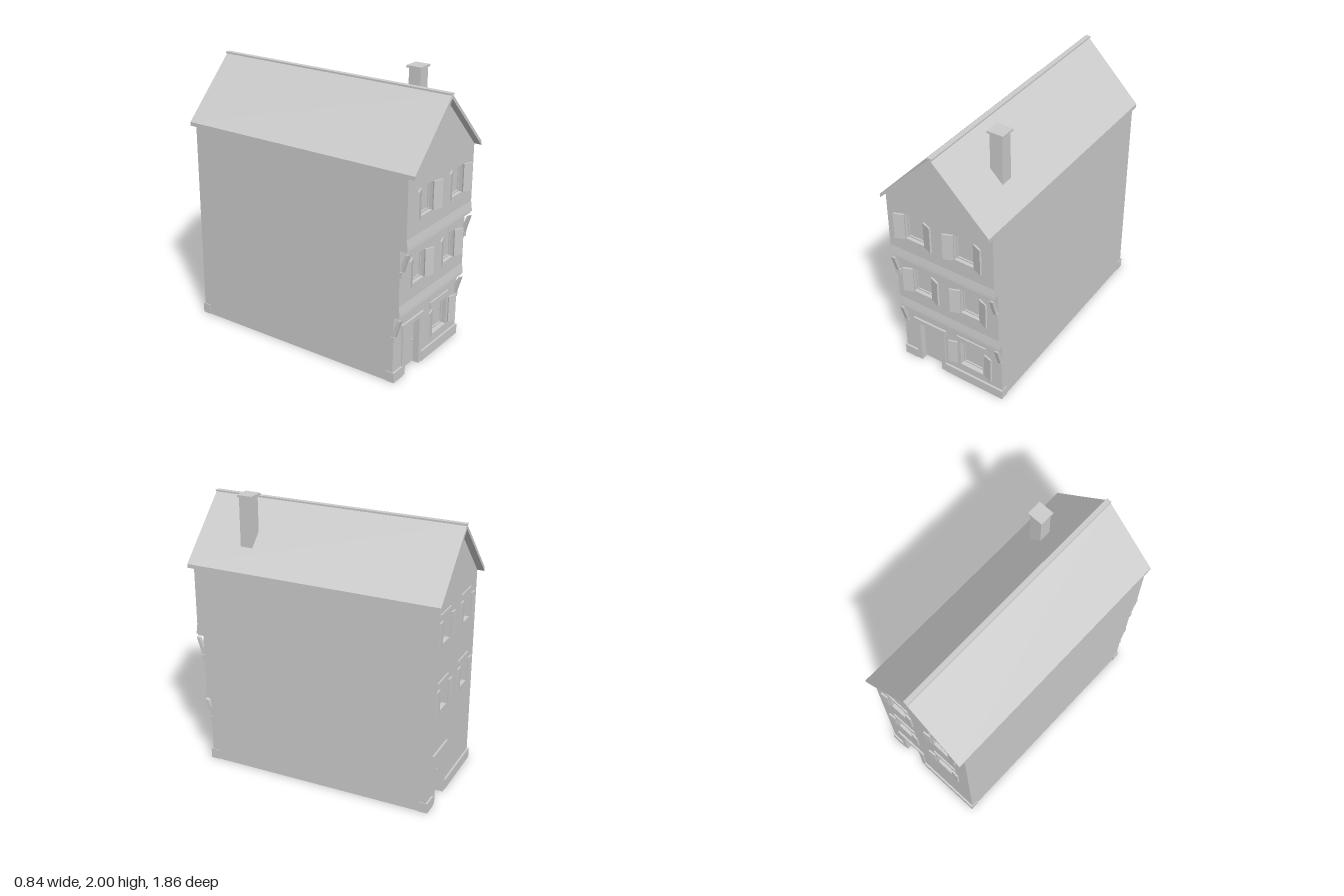
import * as THREE from 'three';

export function createModel() {
  const house = new THREE.Group();
  house.name = 'townhouse';
  const plaster = new THREE.MeshStandardMaterial({ color: 0xcccccc });
  plaster.name = 'pale grey';

  const add = (parent, name, geometry) => {
    const mesh = new THREE.Mesh(geometry, plaster);
    mesh.name = name;
    parent.add(mesh);
    return mesh;
  };
  // box given by its lower and upper corners
  const box = (parent, name, x0, x1, y0, y1, z0, z1) => {
    const mesh = add(parent, name, new THREE.BoxGeometry(x1 - x0, y1 - y0, z1 - z0));
    mesh.position.set((x0 + x1) / 2, (y0 + y1) / 2, (z0 + z1) / 2);
    return mesh;
  };
  const shapeOf = (points) => new THREE.Shape(points.map(([x, y]) => new THREE.Vector2(x, y)));
  // wall in the xy plane with rectangular openings [x0, x1, y0, y1]
  const wall = (parent, name, outline, openings, z0, z1) => {
    const shape = shapeOf(outline);
    for (const [a, b, c, d] of openings) {
      shape.holes.push(shapeOf([[a, c], [a, d], [b, d], [b, c]]));
    }
    const geometry = new THREE.ExtrudeGeometry(shape, { depth: z1 - z0, bevelEnabled: false });
    geometry.translate(0, 0, z0);
    return add(parent, name, geometry);
  };
  // prism running along x, from a profile of [z, y] points
  const prismX = (parent, name, profile, x0, x1) => {
    const geometry = new THREE.ExtrudeGeometry(shapeOf(profile.map(([z, y]) => [-z, y])),
      { depth: x1 - x0, bevelEnabled: false });
    geometry.rotateY(Math.PI / 2);
    geometry.translate(x0, 0, 0);
    return add(parent, name, geometry);
  };
  const rect = (x0, x1, y0, y1) => [[x0, y0], [x1, y0], [x1, y1], [x0, y1]];

  const W = 0.415;
  const gable = (y0) => [[-W, y0], [W, y0], [W, 1.475], [0, 1.89], [-W, 1.475]];

  // shutters hinged beside an opening, outer edge swung out by an angle
  const shutters = (parent, x0, x1, y0, y1, z, width, angle) => {
    for (const side of [-1, 1]) {
      const hinge = new THREE.Group();
      hinge.name = side < 0 ? 'rightShutter' : 'leftShutter';
      hinge.position.set(side < 0 ? x0 : x1, 0, z);
      hinge.rotation.y = -side * angle;
      const far = side * width;
      box(hinge, 'shutterPanel', Math.min(0, far), Math.max(0, far), y0, y1, 0, 0.012);
      parent.add(hinge);
    }
  };
  // recessed pane with a slim frame
  const pane = (parent, x0, x1, y0, y1, z) => {
    box(parent, 'windowPane', x0, x1, y0, y1, z - 0.045, z - 0.035);
    wall(parent, 'windowFrame', rect(x0, x1, y0, y1),
      [[x0 + 0.01, x1 - 0.01, y0 + 0.01, y1 - 0.01]], z - 0.035, z - 0.025);
  };
  // door surround with lintel, and plinth pieces either side of it
  const doorway = (parent, x0, x1, z) => {
    box(parent, 'doorLintel', x0 - 0.05, x1 + 0.05, 0.355, 0.39, z, z + 0.014);
    box(parent, 'doorJamb', x0 - 0.036, x0, 0, 0.355, z, z + 0.01);
    box(parent, 'doorJamb', x1, x1 + 0.036, 0, 0.355, z, z + 0.01);
    box(parent, 'plinth', -0.42, x0 - 0.036, 0, 0.075, z - 0.05, z + 0.014);
    box(parent, 'plinth', x1 + 0.036, 0.42, 0, 0.075, z - 0.05, z + 0.014);
    box(parent, 'doorLeaf', x0, x1, 0.005, 0.355, z - 0.05, z - 0.038);
    const knob = add(parent, 'doorKnob', new THREE.SphereGeometry(0.007, 8, 6));
    knob.position.set(x1 - 0.02, 0.18, z - 0.034);
  };

  // ---- long side walls, open underneath
  for (const s of [-1, 1]) {
    box(house, s < 0 ? 'rightWall' : 'leftWall', s < 0 ? -W : W - 0.045, s < 0 ? -W + 0.045 : W,
      0, 1.475, -0.83, 0.75);
  }

  // ---- ground floor front
  const front = new THREE.Group();
  front.name = 'front';
  house.add(front);
  const shopWindow = [0.075, 0.26, 0.15, 0.36];
  wall(front, 'groundFloorFront',
    [[-W, 0], [-0.275, 0], [-0.275, 0.355], [-0.1, 0.355], [-0.1, 0], [W, 0], [W, 0.5], [-W, 0.5]],
    [shopWindow], 0.75, 0.8);
  doorway(front, -0.275, -0.1, 0.8);
  pane(front, ...shopWindow, 0.8);
  wall(front, 'windowSurround', rect(0.045, 0.285, 0.135, 0.405), [shopWindow], 0.8, 0.81);
  shutters(front, 0.053, 0.282, 0.155, 0.355, 0.808, 0.07, 0.28);

  // ---- overhanging upper storeys
  const storeys = [
    { y0: 0.5, z: 0.835, sill: 0.68, outline: rect(-W, W, 0.5, 0.985) },
    { y0: 0.985, z: 0.88, sill: 1.17, outline: gable(0.985) },
  ];
  for (const { y0, z, sill, outline } of storeys) {
    const storey = new THREE.Group();
    storey.name = 'upperStorey';
    front.add(storey);
    const openings = [-1, 1].map((s) => [s * 0.194 - 0.08, s * 0.194 + 0.08, sill, sill + 0.2]);
    wall(storey, 'storeyFront', outline, openings, 0.75, z);
    for (const [a, b, c, d] of openings) {
      pane(storey, a, b, c, d, z);
      shutters(storey, a, b, c, d, z, 0.074, 0.36);
    }
    // flared skirt and beam at the foot of the storey
    prismX(storey, 'flaredSkirt', [[z - 0.02, y0], [z + 0.01, y0], [z + 0.008, y0 + 0.02],
      [z, y0 + 0.075], [z - 0.02, y0 + 0.075]], -W, W);
    box(storey, 'floorBeam', -0.412, 0.412, y0 - 0.012, y0, 0.75, z + 0.003);
    // slanted braces on small feet
    const base = z - 0.04;
    for (const s of [-1, 1]) {
      const x = s * 0.398;
      prismX(storey, 'brace', [[base, y0 - 0.16], [base + 0.015, y0 - 0.16],
        [base + 0.054, y0 - 0.027], [base + 0.03, y0 - 0.035], [base, y0 - 0.11]], x - 0.013, x + 0.013);
      box(storey, 'braceFoot', x - 0.02, x + 0.02, y0 - 0.195, y0 - 0.155, base - 0.01, base + 0.014);
    }
  }

  // ---- back, built facing forward and then turned round
  const back = new THREE.Group();
  back.name = 'back';
  back.rotation.y = Math.PI;
  house.add(back);
  const backOpenings = [];
  for (const y of [0.79, 1.275]) {
    for (const x of [-0.195, 0.195]) backOpenings.push([x - 0.07, x + 0.07, y - 0.09, y + 0.09]);
  }
  wall(back, 'backWall',
    [[-W, 0], [-0.275, 0], [-0.275, 0.355], [-0.115, 0.355], [-0.115, 0], [W, 0],
      [W, 1.475], [0, 1.89], [-W, 1.475]], backOpenings, 0.83, 0.88);
  doorway(back, -0.275, -0.115, 0.88);
  for (const o of backOpenings) {
    const [a, b, c, d] = o;
    pane(back, a, b, c, d, 0.88);
    wall(back, 'windowSurround', rect(a - 0.027, b + 0.027, c - 0.035, d + 0.035), [o], 0.88, 0.89);
    shutters(back, a - 0.012, b + 0.012, c + 0.003, d - 0.007, 0.889, 0.055, 0.08);
  }

  // ---- roof, ridge cap and chimney
  wall(house, 'roof', [[-0.42, 1.472], [0, 1.89], [0.42, 1.472], [0.42, 1.5], [0, 1.92], [-0.42, 1.5]],
    [], -0.93, 0.93);
  box(house, 'ridgeCap', -0.018, 0.018, 1.915, 1.927, -0.93, 0.93);
  wall(house, 'chimney', [[0.19, 1.72], [0.283, 1.627], [0.283, 1.985], [0.19, 1.985]], [], 0.488, 0.578);
  box(house, 'chimneyCap', 0.176, 0.294, 1.985, 2, 0.475, 0.587);

  return house;
}
